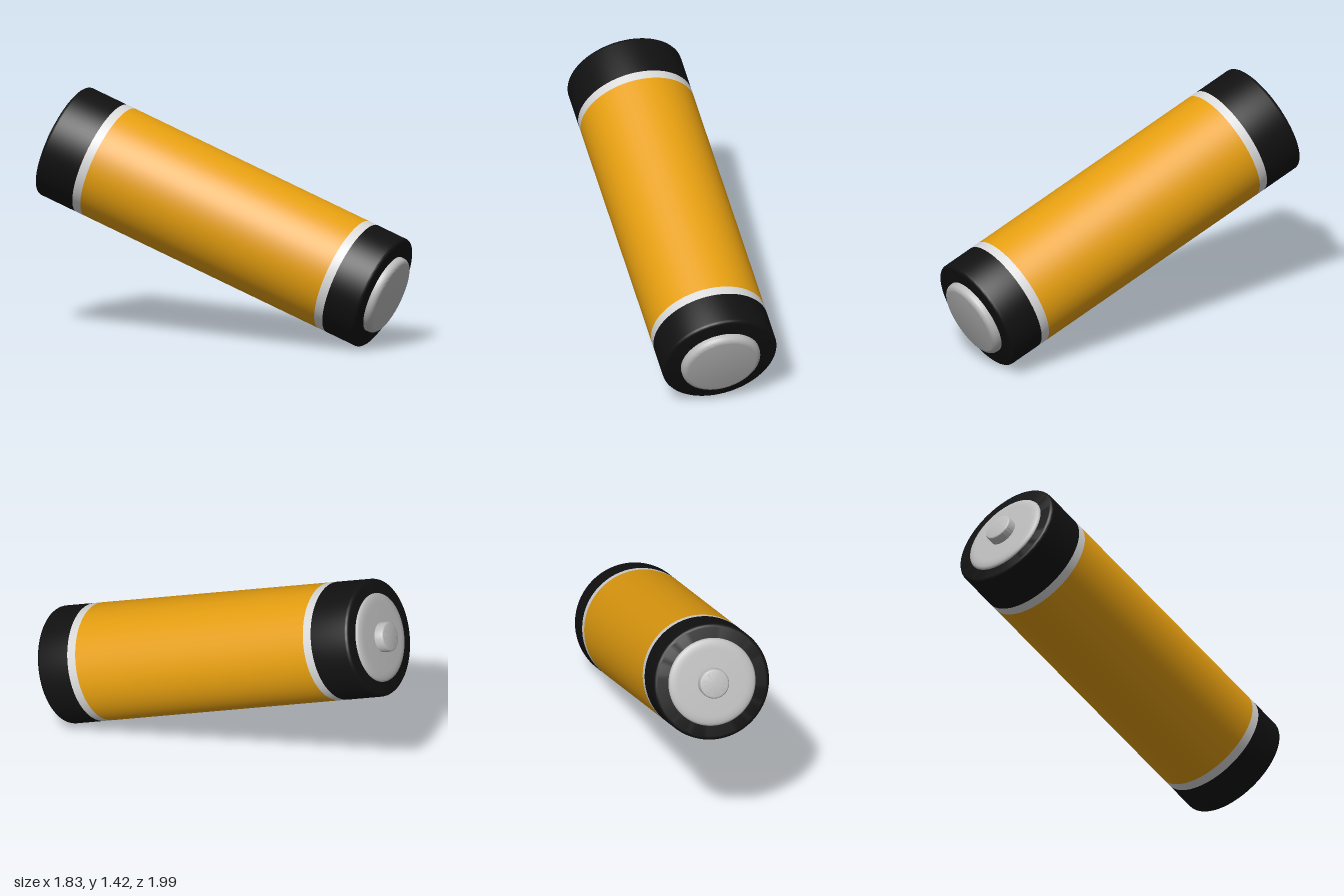
import * as THREE from 'three';
import { toCreasedNormals } from 'three/addons/utils/BufferGeometryUtils.js';

const R = 0.345;   // body radius
const H = 1.077;   // half length of the casing
const SEGMENTS = 72;

const colour = (name, hex) => {
  const m = new THREE.MeshStandardMaterial({ color: hex });
  m.name = name;
  return m;
};

// Turned part from [radius, height] points listed from bottom to top
function turned(name, points, material) {
  const profile = points.map(([r, y]) => new THREE.Vector2(r, y));
  const geometry = toCreasedNormals(new THREE.LatheGeometry(profile, SEGMENTS), 0.6);
  const mesh = new THREE.Mesh(geometry, material);
  mesh.name = name;
  return mesh;
}

// Quarter-round edge from the side wall (radius r) in to the top face (height y)
function roundEdge(r, y, bevelR, bevelY = bevelR, steps = 5) {
  const pts = [];
  for (let i = 0; i <= steps; i++) {
    const a = (i / steps) * Math.PI / 2;
    pts.push([r - bevelR * (1 - Math.cos(a)), y - bevelY * (1 - Math.sin(a))]);
  }
  return pts;
}

// Mirror a profile so it faces down the axis
const flip = (pts) => pts.map(([r, y]) => [r, -y]).reverse();

export function createModel() {
  const orange = colour('orange wrap', 0xe69f10);
  const black = colour('black casing', 0x111111);
  const white = colour('light band', 0xdadada);
  const metal = colour('metal', 0xbcbcbc);

  const battery = new THREE.Group();
  battery.name = 'battery';

  // Casing: heights where the colours change
  const y1 = -H + 0.213, y2 = -H + 0.268, y3 = H - 0.309, y4 = H - 0.255;
  const rim = [...roundEdge(R, H, 0.022), [0, H]];
  battery.add(
    turned('negativeEnd', [...flip(rim), [R, y1]], black),
    turned('lowerBand', [[R, y1], [R, y2]], white),
    turned('wrap', [[R, y2], [R, y3]], orange),
    turned('upperBand', [[R, y3], [R, y4]], white),
    turned('positiveEnd', [[R, y4], ...rim], black)
  );

  // Positive terminal: low domed plate with a small button
  battery.add(
    turned('positivePlate', [[0.26, H - 0.01], ...roundEdge(0.26, H + 0.022, 0.06, 0.02), [0, H + 0.022]], metal),
    turned('positiveButton', [[0.088, H], ...roundEdge(0.088, H + 0.078, 0.014), [0, H + 0.078]], metal)
  );

  // Negative terminal: wide rounded disc
  const disc = [[0.237, H - 0.01], ...roundEdge(0.237, H + 0.05, 0.034), [0, H + 0.05]];
  battery.add(turned('negativeTerminal', flip(disc), metal));

  // Lean the battery: positive end up, to the back and to the right
  const axis = new THREE.Vector3(-0.604, 0.368, -0.707).normalize();
  battery.quaternion.setFromUnitVectors(new THREE.Vector3(0, 1, 0), axis);
  battery.position.y = 0.717;

  const model = new THREE.Group();
  model.name = 'model';
  model.add(battery);
  return model;
}
